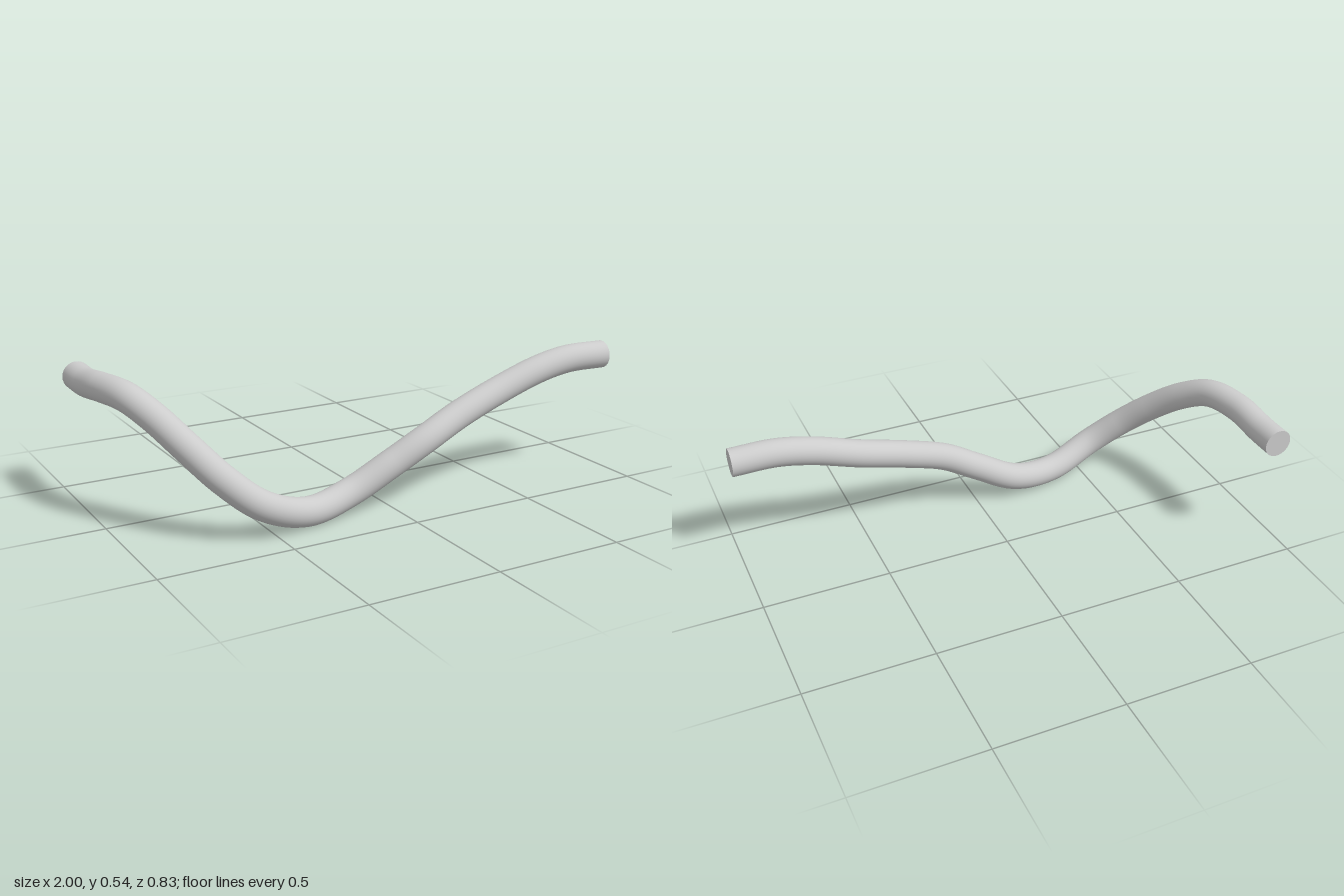
import * as THREE from 'three';

export function createModel() {
  const group = new THREE.Group();
  const material = new THREE.MeshStandardMaterial({ color: 0xcccccc });
  const radius = 0.055;

  // Centre line of the bent hose, from the rear end to the left end
  const path = new THREE.CatmullRomCurve3([
    [-0.945, 0.465, -0.415],
    [-0.944, 0.465, -0.3],
    [-0.935, 0.481, -0.15],
    [-0.897, 0.476, 0],
    [-0.838, 0.42, 0.11],
    [-0.76, 0.325, 0.22],
    [-0.67, 0.222, 0.31],
    [-0.55, 0.125, 0.362],
    [-0.36, 0.058, 0.335],
    [-0.17, 0.085, 0.301],
    [0, 0.173, 0.317],
    [0.13, 0.245, 0.331],
    [0.3, 0.315, 0.312],
    [0.5, 0.382, 0.295],
    [0.68, 0.44, 0.298],
    [0.82, 0.466, 0.302],
    [0.995, 0.466, 0.305],
  ].map((p) => new THREE.Vector3(...p)), false, 'centripetal');

  const hose = new THREE.Mesh(new THREE.TubeGeometry(path, 160, radius, 32, false), material);
  hose.name = 'hose';
  group.add(hose);

  // Flat caps closing both ends, facing outward along the path
  for (const [name, t, sign] of [['rearEndCap', 0, -1], ['leftEndCap', 1, 1]]) {
    const cap = new THREE.Mesh(new THREE.CircleGeometry(radius, 32), material);
    const outward = path.getTangentAt(t).multiplyScalar(sign);
    cap.name = name;
    cap.position.copy(path.getPointAt(t));
    cap.quaternion.setFromUnitVectors(new THREE.Vector3(0, 0, 1), outward);
    group.add(cap);
  }
  return group;
}
